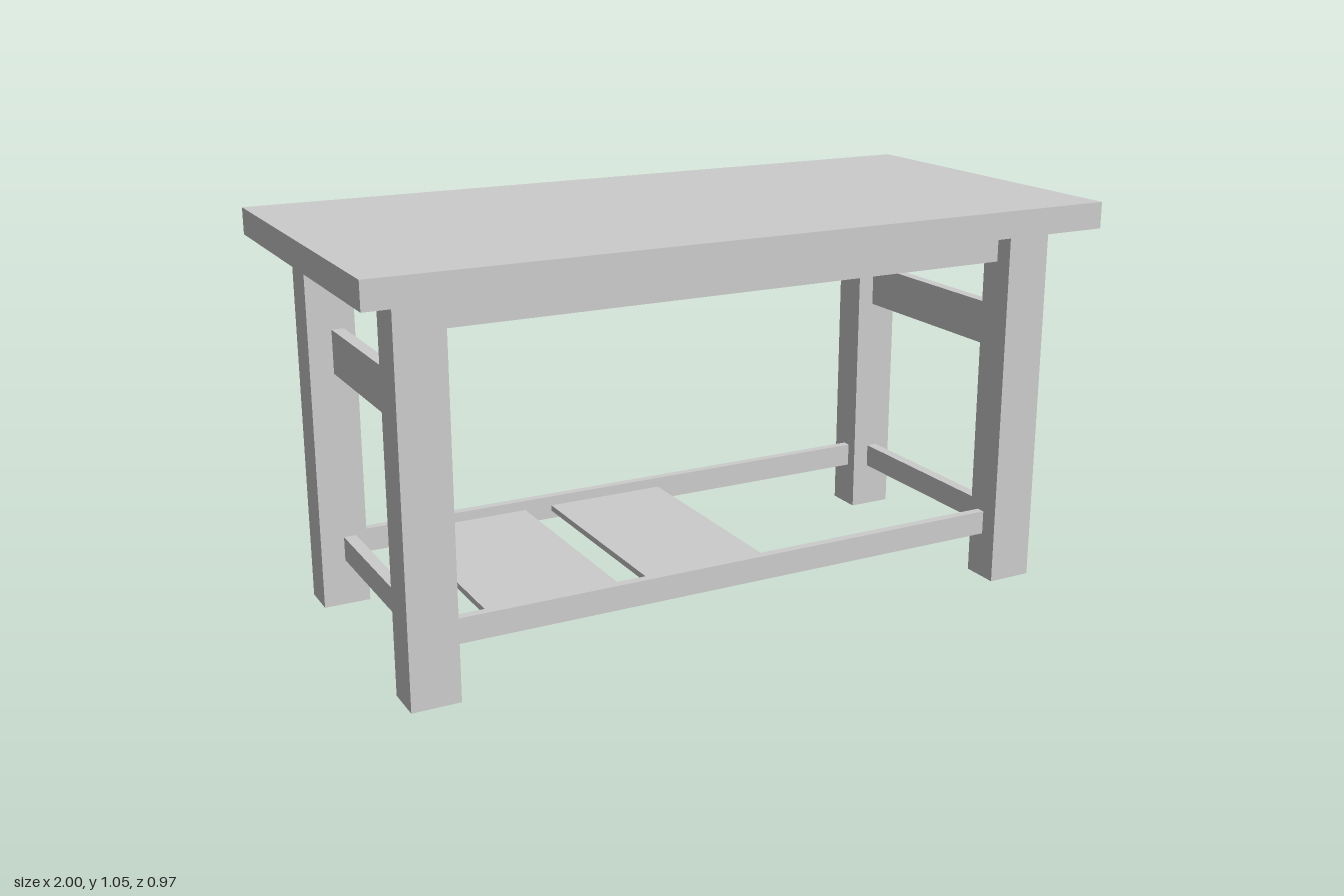
import * as THREE from 'three';

export function createModel() {
  const group = new THREE.Group();
  const material = new THREE.MeshStandardMaterial({ color: 0xcccccc, flatShading: true });

  // Box given by its extents on each axis
  function board(name, [x0, x1], [y0, y1], [z0, z1]) {
    const mesh = new THREE.Mesh(new THREE.BoxGeometry(x1 - x0, y1 - y0, z1 - z0), material);
    mesh.position.set((x0 + x1) / 2, (y0 + y1) / 2, (z0 + z1) / 2);
    mesh.name = name;
    group.add(mesh);
  }

  board('tableTop', [-1, 1], [0.985, 1.055], [-0.485, 0.485]);

  // Spans of the legs along x and z
  const legX = { left: [0.778, 0.902], right: [-0.905, -0.78] };
  const legZ = { front: [0.293, 0.397], back: [-0.392, -0.29] };
  for (const [side, x] of Object.entries(legX)) {
    for (const [end, z] of Object.entries(legZ)) board(`${end}Leg_${side}`, x, [0, 0.985], z);
  }

  // Long aprons under the top and long stretchers near the floor
  const railZ = { front: [0.323, 0.347], back: [-0.347, -0.323] };
  for (const [end, z] of Object.entries(railZ)) {
    board(`${end}Apron`, [-0.78, 0.778], [0.893, 0.985], z);
    board(`${end}Stretcher`, [-0.78, 0.778], [0.125, 0.19], z);
  }

  // Short rails joining the legs at each end
  const railX = { left: [0.826, 0.857], right: [-0.842, -0.809] };
  for (const [side, x] of Object.entries(railX)) {
    board(`${side}Apron`, x, [0.925, 0.985], [-0.29, 0.293]);
    board(`${side}MiddleRail`, x, [0.64, 0.757], [-0.29, 0.293]);
    board(`${side}Stretcher`, x, [0.125, 0.19], [-0.29, 0.293]);
  }

  // Two shelf planks held between the long stretchers
  for (const x of [[-0.665, -0.308], [-0.228, 0.112]]) {
    board('shelfPlank', x, [0.147, 0.163], [-0.323, 0.323]);
  }

  return group;
}
